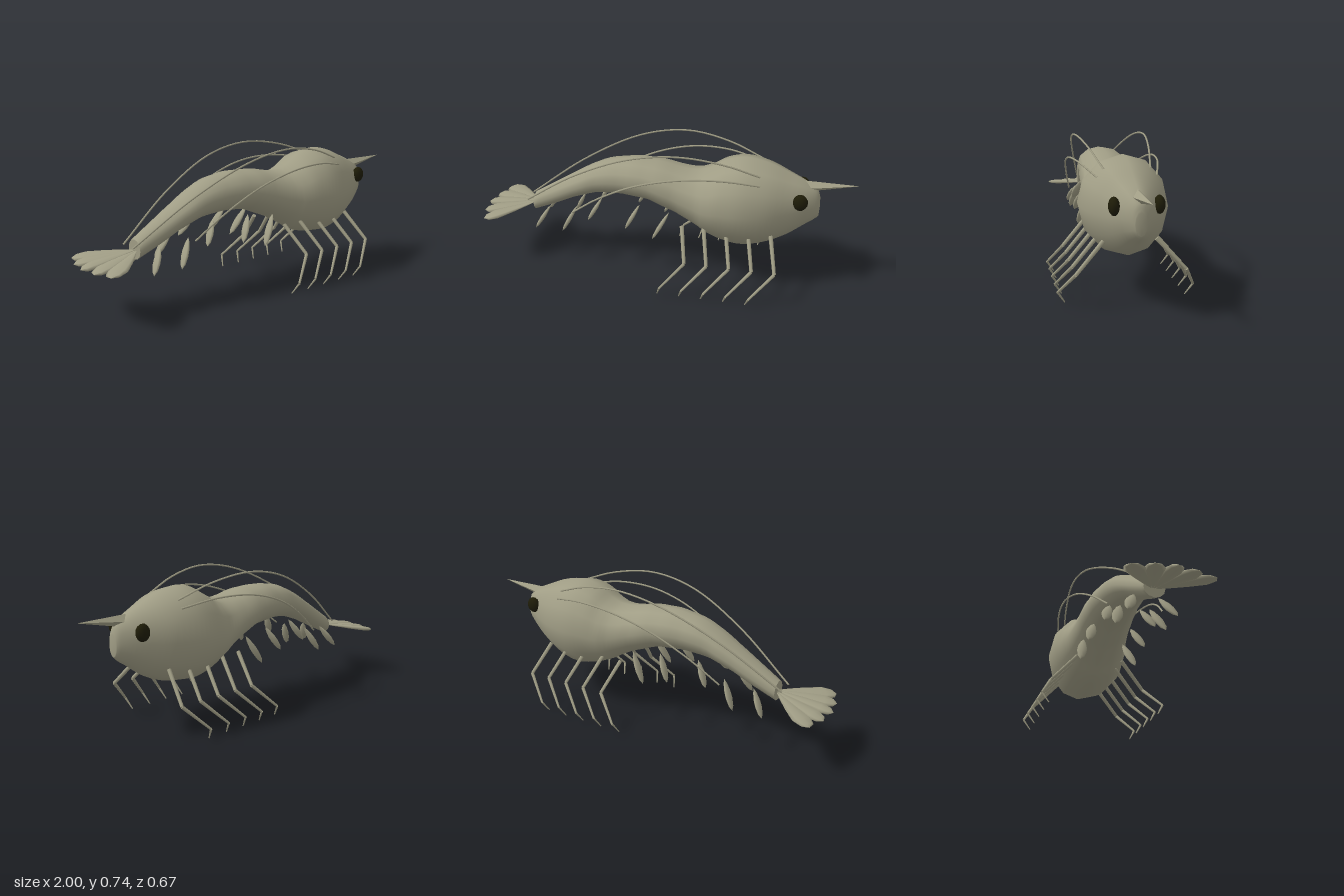
import * as THREE from 'three';

const shell = new THREE.MeshStandardMaterial({ color: 0xa09d85 });
shell.name = 'olive grey shell';
const dark = new THREE.MeshStandardMaterial({ color: 0x1e1c08 });
dark.name = 'dark eye';

const V = (x, y, z) => new THREE.Vector3(x, y, z);

function add(parent, name, geometry, material = shell) {
  const mesh = new THREE.Mesh(geometry, material);
  mesh.name = name;
  parent.add(mesh);
  return mesh;
}

// Body stations from tail to nose: x, top, bottom, half width
const stations = [
  [-0.715, 0.365, 0.265, 0.053], [-0.6, 0.435, 0.315, 0.07], [-0.45, 0.525, 0.385, 0.092],
  [-0.33, 0.59, 0.42, 0.105], [-0.2, 0.622, 0.427, 0.122], [-0.06, 0.628, 0.412, 0.138],
  [0.06, 0.612, 0.365, 0.15], [0.16, 0.595, 0.318, 0.162], [0.25, 0.617, 0.262, 0.19],
  [0.33, 0.667, 0.23, 0.207], [0.43, 0.692, 0.212, 0.213], [0.55, 0.672, 0.235, 0.186],
  [0.66, 0.627, 0.285, 0.132], [0.75, 0.585, 0.35, 0.08], [0.8, 0.55, 0.385, 0.042],
  [0.815, 0.508, 0.402, 0.026],
];

// Twelve-sided loft with gentle scallops for the abdominal plates
function bodyGeometry() {
  const sides = 12, steps = 60, pos = [], idx = [];
  const rail = k => new THREE.CatmullRomCurve3(stations.map(s => V(s[0], s[k], 0)));
  const top = new THREE.CatmullRomCurve3(stations.map(s => V(s[0], s[1], s[3])));
  const bottom = rail(2);
  for (let i = 0; i <= steps; i++) {
    const t = top.getPoint(i / steps), b = bottom.getPoint(i / steps);
    const plate = t.x > -0.5 && t.x < 0.22 ? 1 + 0.03 * (Math.abs(Math.sin((t.x + 0.5) * Math.PI / 0.144)) - 0.6) : 1;
    const c = (t.y + b.y) / 2, ry = (t.y - b.y) / 2 * plate;
    for (let j = 0; j < sides; j++) {
      const a = j / sides * Math.PI * 2;
      pos.push(t.x, c + ry * Math.cos(a), t.z * plate * Math.sin(a));
    }
  }
  for (let i = 0; i < steps; i++) for (let j = 0; j < sides; j++) {
    const a = i * sides + j, b = i * sides + (j + 1) % sides;
    idx.push(a, b, a + sides, b, b + sides, a + sides);
  }
  // Rounded nose closes on a shared point
  const nose = pos.length / 3, last = steps * sides;
  pos.push(0.818, 0.455, 0);
  for (let j = 0; j < sides; j++) idx.push(last + j, last + (j + 1) % sides, nose);
  // Tail end is a crisp flat cap
  const cap = nose + 1;
  pos.push(...pos.slice(0, sides * 3), -0.715, 0.315, 0);
  for (let j = 0; j < sides; j++) idx.push(cap + (j + 1) % sides, cap + j, cap + sides);
  const g = new THREE.BufferGeometry();
  g.setAttribute('position', new THREE.Float32BufferAttribute(pos, 3));
  g.setIndex(idx);
  g.computeVertexNormals();
  return g;
}

// Flat leaf from base to tip; "side" is the direction across its width
function blade(base, tip, side, width, thick, profile) {
  const y = tip.clone().sub(base), len = y.length();
  y.normalize();
  const x = side.clone().addScaledVector(y, -side.dot(y)).normalize();
  const z = x.clone().cross(y);
  const g = new THREE.LatheGeometry(profile.map(p => new THREE.Vector2(p[0], p[1])), 8);
  g.scale(width / 2, len, thick / 2);
  g.applyMatrix4(new THREE.Matrix4().makeBasis(x, y, z).setPosition(base));
  return g;
}

// Tapered rod between two points
function rod(a, b, ra, rb) {
  const d = b.clone().sub(a), len = d.length();
  const g = new THREE.CylinderGeometry(rb, ra, len, 6);
  g.applyQuaternion(new THREE.Quaternion().setFromUnitVectors(V(0, 1, 0), d.normalize()));
  const m = a.clone().lerp(b, 0.5);
  return g.translate(m.x, m.y, m.z);
}

const leaf = [[0, 0], [0.55, 0.15], [0.95, 0.4], [1, 0.6], [0.7, 0.85], [0, 1]];
const petal = [[0, 0], [0.35, 0.2], [0.75, 0.5], [1, 0.78], [0.7, 0.93], [0, 1]];

export function createModel() {
  const model = new THREE.Group();
  model.name = 'shrimp';
  add(model, 'body', bodyGeometry());

  // Four-sided pointed rostrum
  const rostrum = new THREE.ConeGeometry(1, 0.275, 4).toNonIndexed();
  rostrum.computeVertexNormals();
  rostrum.scale(0.033, 1, 0.033).rotateZ(-Math.PI / 2);
  const p = rostrum.attributes.position;
  for (let i = 0; i < p.count; i++) {
    const t = 0.5 - p.getX(i) / 0.275;
    p.setXYZ(i, 1 - 0.275 * t, 0.59 - 0.03 * t + p.getY(i), p.getZ(i));
  }
  rostrum.computeVertexNormals();
  add(model, 'rostrum', rostrum);

  for (const s of [1, -1]) {
    const sideName = s > 0 ? 'right' : 'left';
    const half = new THREE.Group();
    half.name = sideName + 'Appendages';
    model.add(half);

    const eye = add(half, 'eye', new THREE.SphereGeometry(1, 10, 8), dark);
    eye.scale.set(0.038, 0.043, 0.026);
    eye.position.set(0.72, 0.518, s * 0.102);

    // Upper and lower antennae sweep back over the body
    const sweeps = {
      upperAntenna: [[0.515, 0.64, 0.11], [0.33, 0.705, 0.145], [0.1, 0.735, 0.172], [-0.15, 0.69, 0.165], [-0.45, 0.545, 0.115], [-0.75, 0.335, 0.045]],
      lowerAntenna: [[0.52, 0.605, 0.14], [0.33, 0.637, 0.19], [0.12, 0.628, 0.213], [-0.1, 0.567, 0.205], [-0.3, 0.46, 0.175], [-0.46, 0.34, 0.14]],
    };
    for (const [name, pts] of Object.entries(sweeps)) {
      const curve = new THREE.CatmullRomCurve3(pts.map(q => V(q[0], q[1], s * q[2])));
      add(half, name, new THREE.TubeGeometry(curve, 28, 0.0048, 5));
    }

    // Five walking legs, each with three segments
    for (let i = 0; i < 5; i++) {
      const leg = new THREE.Group();
      leg.name = 'walkingLeg' + (i + 1);
      leg.position.x = i * 0.115;
      half.add(leg);
      const j = [V(0.13, 0.322, s * 0.125), V(0.17, 0.18, s * 0.26), V(0.055, 0.06, s * 0.33), V(0.036, 0.002, s * 0.295)];
      const r = [0.011, 0.009, 0.006, 0.003];
      ['thigh', 'shin', 'foot'].forEach((n, k) => add(leg, n, rod(j[k], j[k + 1], r[k], r[k + 1])));
    }

    // Paddle-shaped swimmerets: base x, y, z and tip x, y, z
    const paddles = [
      [0.06, 0.39, 0.11, -0.025, 0.235, 0.15], [-0.1, 0.41, 0.1, -0.17, 0.28, 0.15],
      [-0.31, 0.415, 0.08, -0.38, 0.295, 0.13], [-0.455, 0.345, 0.075, -0.53, 0.207, 0.125],
      [-0.61, 0.325, 0.06, -0.685, 0.205, 0.12],
    ];
    paddles.forEach((q, i) => add(half, 'swimmeret' + (i + 1),
      blade(V(q[0], q[1], s * q[2]), V(q[3], q[4], s * q[5]), V(0, 0, 1), 0.052, 0.022, leaf)));

    // Paired blades of the tail fan
    add(half, 'outerTailBlade', blade(V(-0.71, 0.312, s * 0.012), V(-0.95, 0.272, s * 0.195), V(0, 0, 1), 0.105, 0.026, petal));
    add(half, 'innerTailBlade', blade(V(-0.71, 0.312, s * 0.006), V(-0.985, 0.27, s * 0.1), V(0, 0, 1), 0.1, 0.028, petal));
  }
  add(model, 'middleTailBlade', blade(V(-0.7, 0.315, 0), V(-1, 0.27, 0), V(0, 0, 1), 0.09, 0.032, petal));
  return model;
}
